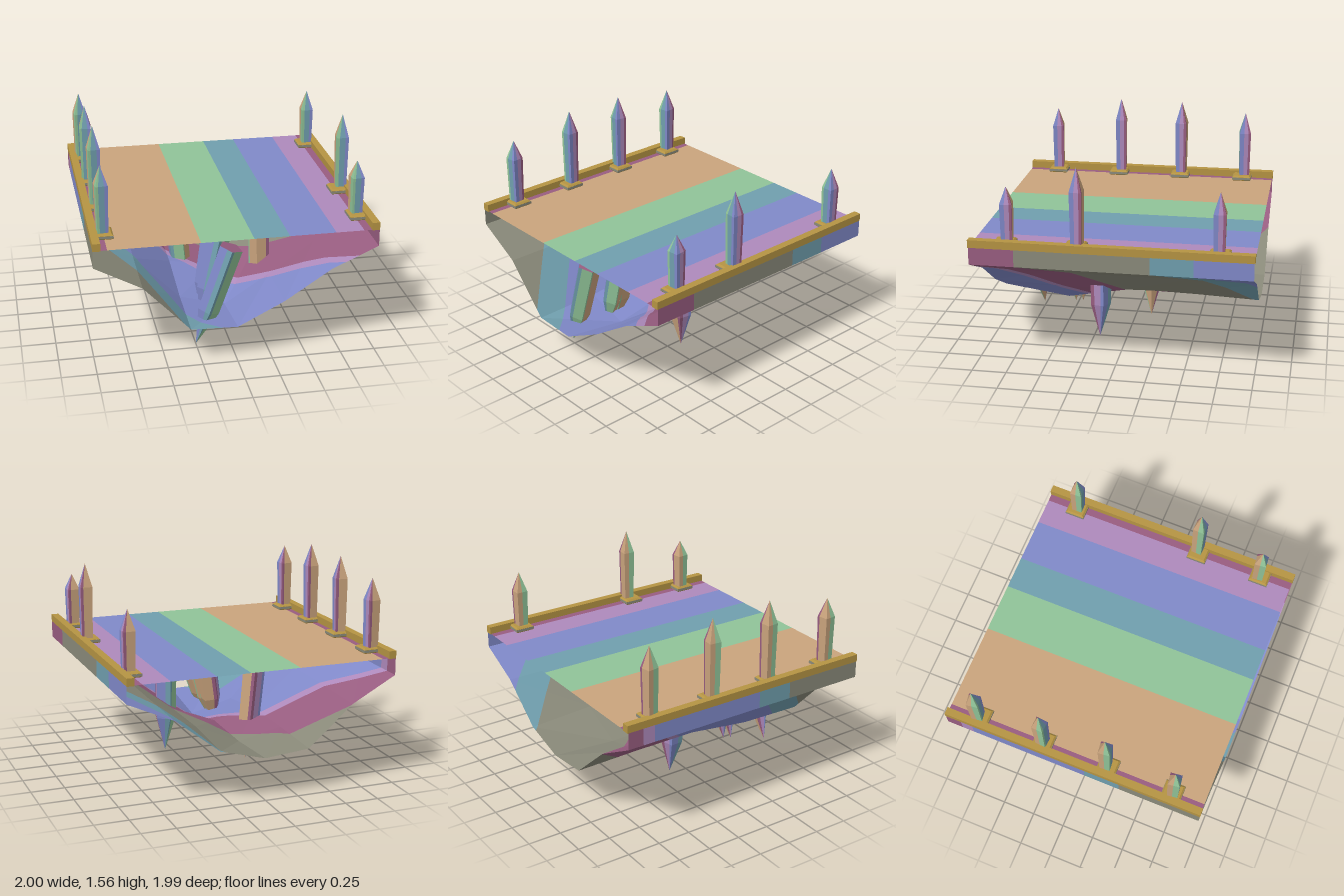
import * as THREE from 'three';

const colour = (name, hex) => {
  const m = new THREE.MeshStandardMaterial({ color: hex, side: THREE.DoubleSide });
  m.name = name;
  return m;
};
const MATS = [
  colour('magenta', 0x985d80), colour('tan', 0xcaa47d), colour('green', 0x90c398),
  colour('teal', 0x709fae), colour('blue', 0x8089c9), colour('lilac', 0xae8abc),
  colour('grey', 0x8a8a7a), colour('gold', 0xb59443),
];
const [MAGENTA, TAN, GREEN, TEAL, BLUE, LILAC, GREY, GOLD] = MATS.keys();

// Rainbow bands shared by the deck and the crystals: [start, colour] over 0..1
const RAINBOW = [[0, MAGENTA], [0.05, TAN], [0.37, GREEN], [0.555, TEAL], [0.68, BLUE], [0.845, LILAC], [0.945, MAGENTA], [1, MAGENTA]];
// Diagonal bands of the hull, measured along x - z
const DIAGONAL = [[-3, GREY], [-1.37, TEAL], [-1.1, BLUE], [-0.22, LILAC], [-0.13, MAGENTA], [0.33, GREY], [1.28, TEAL], [1.58, BLUE], [3, BLUE]];

// Mesh from flat polygons [colour, points], one geometry group per colour
function facets(name, polys) {
  const pos = [], geo = new THREE.BufferGeometry();
  MATS.forEach((_, c) => {
    const start = pos.length / 3;
    for (const [k, p] of polys) {
      if (k !== c) continue;
      for (let i = 1; i < p.length - 1; i++) for (const q of [p[0], p[i], p[i + 1]]) pos.push(...q);
    }
    if (pos.length / 3 > start) geo.addGroup(start, pos.length / 3 - start, c);
  });
  geo.setAttribute('position', new THREE.Float32BufferAttribute(pos, 3));
  geo.computeVertexNormals();
  const mesh = new THREE.Mesh(geo, MATS);
  mesh.name = name;
  return mesh;
}

const mix = (a, b, t) => a.map((v, i) => v + (b[i] - v) * t);

// Keep the part of a convex polygon where f(point) >= 0
function clip(poly, f) {
  const out = [];
  poly.forEach((p, i) => {
    const q = poly[(i + 1) % poly.length], a = f(p), b = f(q);
    if (a >= 0) out.push(p);
    if (a * b < 0) out.push(mix(p, q, a / (a - b)));
  });
  return out;
}

// Pointed crystal with flat sides, banded around its girth
function crystal(name, sides, rBase, rShoulder, y0, y1, y2) {
  const cuts = [...new Set([...RAINBOW.map(b => b[0]), ...Array.from({ length: sides }, (_, i) => i / sides)])].sort((a, b) => a - b);
  const corner = (k, r, y) => {
    const a = -Math.PI / 4 - (2 * Math.PI * k) / sides;
    return [r * Math.cos(a), y, r * Math.sin(a)];
  };
  const rim = (u, r, y) => {
    const k = Math.floor(u * sides + 1e-6);
    return mix(corner(k, r, y), corner(k + 1, r, y), u * sides - k);
  };
  const polys = [];
  for (let i = 0; i < cuts.length - 1; i++) {
    const u = cuts[i], v = cuts[i + 1];
    const c = RAINBOW.findLast(b => b[0] <= u)[1];
    const s = rim(u, rShoulder, y1), t = rim(v, rShoulder, y1);
    const a = rim(u, rBase, y0), b = rim(v, rBase, y0);
    polys.push([c, [a, b, t, s]], [c, [s, t, [0, y2, 0]]], [MAGENTA, [b, a, [0, y0, 0]]]);
  }
  return facets(name, polys);
}

// Banded top sheet
function deck() {
  const polys = [];
  for (let i = 0; i < RAINBOW.length - 1; i++) {
    const a = RAINBOW[i][0] * 2 - 1, b = RAINBOW[i + 1][0] * 2 - 1, y = 0.947;
    polys.push([RAINBOW[i][1], [[a, y, 0.99], [b, y, 0.99], [b, y, -0.99], [a, y, -0.99]]]);
  }
  return facets('deck', polys);
}

// Faceted open-ended trough with short side walls
function hull() {
  const xs = [-1, -1, -0.667, -0.333, 0, 0.333, 0.667, 1, 1];
  const rows = [ // heights across x, from back to front
    [0.64, 0.35, 0.32, 0.41, 0.67],
    [0.65, 0.36, 0.29, 0.44, 0.67],
    [0.65, 0.36, 0.30, 0.43, 0.67],
    [0.64, 0.30, 0.21, 0.43, 0.67],
    [0.64, 0.29, 0.28, 0.45, 0.67],
  ].map(r => [0.945, 0.82, ...r, 0.82, 0.945]);
  const at = (i, j) => [xs[i], rows[j][i], (j / 2 - 1) * 0.99];
  const d = p => p[0] - p[2];
  const polys = [];
  for (let j = 0; j < 4; j++) for (let i = 0; i < 8; i++) {
    const a = at(i, j), b = at(i + 1, j), c = at(i + 1, j + 1), e = at(i, j + 1);
    for (const tri of [[a, b, e], [b, c, e]]) {
      for (let k = 0; k < DIAGONAL.length - 1; k++) {
        const part = clip(clip(tri, p => d(p) - DIAGONAL[k][0]), p => DIAGONAL[k + 1][0] - d(p));
        if (part.length > 2) polys.push([DIAGONAL[k][1], part]);
      }
    }
  }
  return facets('hull', polys);
}

// Chamfered square base plate with a grey edge band
function basePlate() {
  const g = new THREE.Group();
  g.name = 'basePlate';
  const profile = [[0, 0.942], [0.06, 0.942], [0.072, 0.953], [0.072, 0.975], [0.06, 0.986], [0, 0.986]];
  const geo = new THREE.LatheGeometry(profile.map(([r, y]) => new THREE.Vector2(r * Math.SQRT2, y)), 4, Math.PI / 4).toNonIndexed();
  geo.computeVertexNormals();
  const frame = new THREE.Mesh(geo, MATS[GOLD]);
  frame.name = 'plateFrame';
  const band = new THREE.Mesh(new THREE.BoxGeometry(0.148, 0.018, 0.148), MATS[GREY]);
  band.name = 'plateBand';
  band.position.y = 0.964;
  g.add(frame, band);
  return g;
}

export function createModel() {
  const model = new THREE.Group();
  model.name = 'crystalBridge';
  model.add(deck(), hull());

  // Gold edge rails
  for (const s of [-1, 1]) {
    const rail = new THREE.Mesh(new THREE.BoxGeometry(0.055, 0.056, 1.99), MATS[GOLD]);
    rail.name = s > 0 ? 'leftRail' : 'rightRail';
    rail.position.set(s * 0.9725, 0.972, 0);
    model.add(rail);
  }

  // Standing crystals: x, z, shoulder height, tip height, spin
  const posts = [
    [-0.91, 0.755, 1.33, 1.47, 0.12], [-0.905, 0.235, 1.40, 1.57, 0.1],
    [-0.915, -0.255, 1.39, 1.56, -0.08], [-0.915, -0.765, 1.33, 1.49, 0.15],
    [0.895, 0.735, 1.25, 1.37, 0.1], [0.925, 0.235, 1.37, 1.54, -0.05], [0.91, -0.745, 1.26, 1.41, 0.03],
  ];
  for (const [x, z, shoulder, tip, spin] of posts) {
    const c = crystal('standingCrystal', 4, 0.053, 0.061, 0.93, shoulder, tip);
    c.position.set(x, 0, z);
    c.rotation.y = spin;
    const plate = basePlate();
    plate.position.set(Math.sign(x) * 0.91, 0, Math.sign(z) * (Math.abs(z) > 0.5 ? 0.75 : 0.25));
    model.add(c, plate);
  }

  // Hanging crystals: blunt top, pointed tip below, spin
  const pendants = [
    [[0.325, 0.79, 0.19], [0.335, 0.045, 0.19], 0],
    [[-0.01, 0.795, 0.77], [-0.26, 0.045, 0.75], 2.9],
    [[-0.03, 0.795, 0.46], [-0.18, 0.10, 0.48], 2.9],
    [[-0.06, 0.795, 0.39], [-0.165, 0.11, 0.42], 2.7],
    [[-0.28, 0.79, -0.12], [-0.205, 0.01, -0.12], 2.1],
  ];
  for (const [top, tip, spin] of pendants) {
    const from = new THREE.Vector3(...top), dir = new THREE.Vector3(...tip).sub(from), len = dir.length();
    const c = crystal('hangingCrystal', 5, 0.088, 0.082, 0, len * 0.64, len);
    c.position.copy(from);
    c.quaternion.setFromUnitVectors(new THREE.Vector3(0, -1, 0), dir.normalize())
      .multiply(new THREE.Quaternion().setFromEuler(new THREE.Euler(Math.PI, spin, 0, 'YXZ')));
    model.add(c);
  }
  return model;
}
